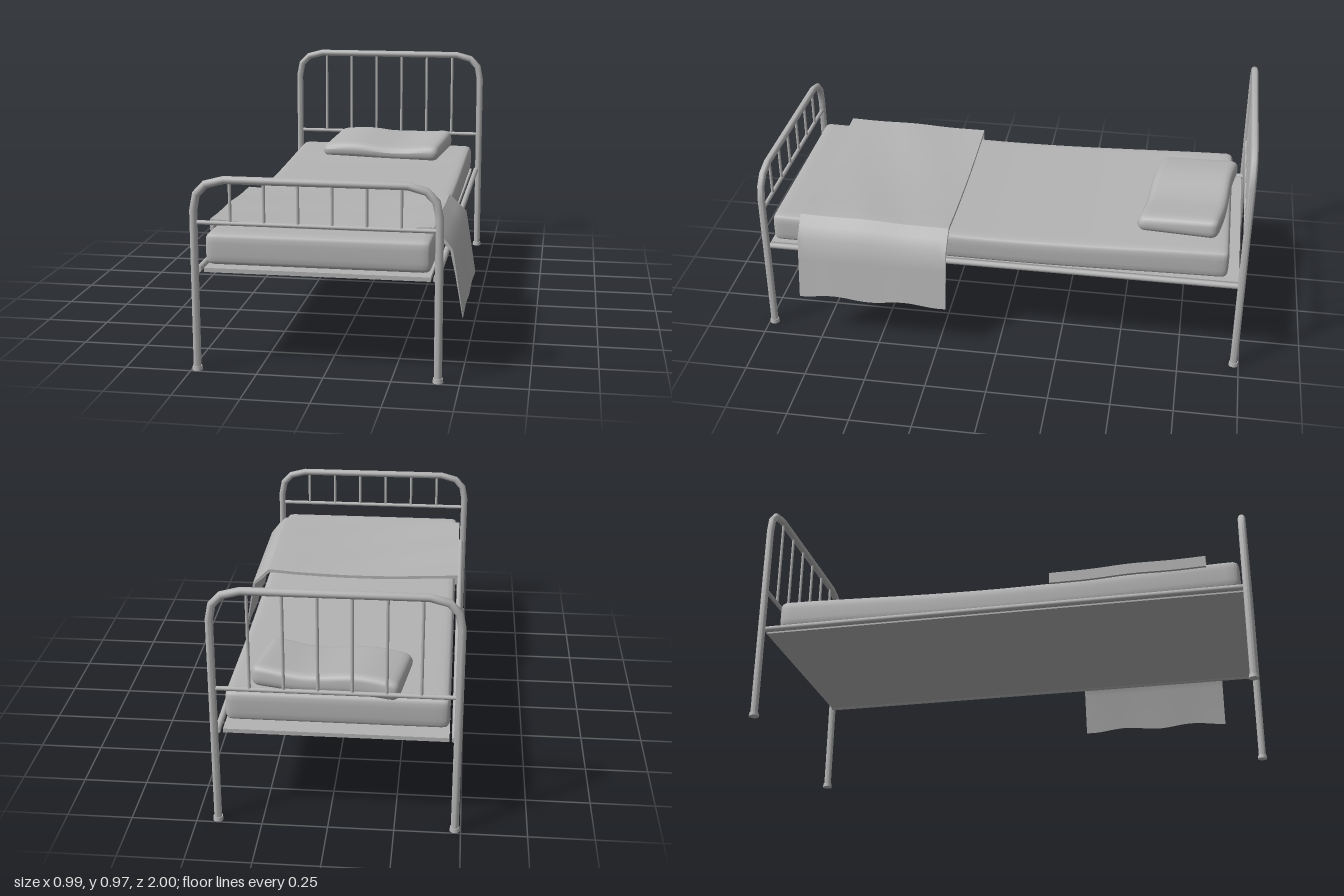
import * as THREE from 'three';
import { toCreasedNormals, mergeVertices } from 'three/addons/utils/BufferGeometryUtils.js';

const MID = -0.029; // the bed's centre line; the blanket hangs out on the +x side

// Left-hand mitred normals of a polyline in the xy plane
function miters(pts) {
  const dir = (a, b) => new THREE.Vector2(b[0] - a[0], b[1] - a[1]).normalize();
  return pts.map((p, i) => {
    const d0 = i > 0 ? dir(pts[i - 1], p) : dir(p, pts[1]);
    const d1 = i < pts.length - 1 ? dir(p, pts[i + 1]) : d0;
    const t = d0.clone().add(d1).normalize();
    return new THREE.Vector2(-t.y, t.x).divideScalar(t.dot(d0));
  });
}

// Skin closed rings of points and cap both ends
function loft(rings, crease) {
  const n = rings[0].length, last = (rings.length - 1) * n, index = [];
  for (let j = 0; j < rings.length - 1; j++) {
    for (let i = 0; i < n; i++) {
      const a = j * n + i, b = j * n + (i + 1) % n;
      index.push(a, a + n, b, b, a + n, b + n);
    }
  }
  for (let i = 0; i < n / 2 - 1; i++) {
    const q = [i, i + 1, n - 2 - i, n - 1 - i];
    index.push(q[0], q[1], q[3], q[1], q[2], q[3]);
    index.push(last + q[0], last + q[3], last + q[1], last + q[1], last + q[3], last + q[2]);
  }
  const geo = new THREE.BufferGeometry();
  geo.setAttribute('position', new THREE.Float32BufferAttribute(rings.flat(2), 3));
  geo.setIndex(index);
  return toCreasedNormals(geo, crease);
}

// Tube with mitred bends
function bentTube(pts, r, sides = 12) {
  const m = miters(pts);
  return loft(pts.map(([x, y], j) => Array.from({ length: sides }, (_, i) => {
    const a = (i / sides) * Math.PI * 2, c = Math.cos(a) * r;
    return [x + m[j].x * c, y + m[j].y * c, -Math.sin(a) * r];
  })), 0.9);
}

function warp(geo, rule) {
  const p = geo.attributes.position, v = new THREE.Vector3();
  for (let i = 0; i < p.count; i++) {
    rule(v.fromBufferAttribute(p, i));
    p.setXYZ(i, v.x, v.y, v.z);
  }
  return geo;
}

// Smooth rounded block, finely divided so that it can be bent by a rule
function softBlock(w, h, d, r, rule) {
  const half = new THREE.Vector3(w / 2, h / 2, d / 2);
  const hi = half.clone().subScalar(r), lo = hi.clone().negate(), core = new THREE.Vector3();
  let geo = new THREE.BoxGeometry(w, h, d, 24, 8, 28);
  warp(geo, v => {
    for (const k of ['x', 'y', 'z']) v[k] = half[k] * Math.sin((v[k] / half[k]) * Math.PI / 2);
    core.copy(v).clamp(lo, hi);
    v.sub(core).setLength(r).add(core);
    rule(v);
  });
  geo.deleteAttribute('uv');
  geo.deleteAttribute('normal');
  geo = mergeVertices(geo, 1e-5);
  geo.computeVertexNormals();
  return geo;
}

export function createModel() {
  const bed = new THREE.Group();
  bed.name = 'bed';
  const grey = new THREE.MeshStandardMaterial({ color: 0xb4b4b4 });
  grey.name = 'grey';

  const add = (parent, name, geo, x = 0, y = 0, z = 0) => {
    const mesh = new THREE.Mesh(geo, grey);
    mesh.name = name;
    mesh.position.set(x, y, z);
    parent.add(mesh);
    return mesh;
  };
  const rod = (r, len) => new THREE.CylinderGeometry(r, r, len, 12);

  // Head and foot ends: bent tube, lower rail, spindles and rubber feet
  const endFrame = (name, top, z) => {
    const end = new THREE.Group();
    end.name = name;
    end.position.set(MID, 0, z);
    const side = [[-0.449, 0.005], [-0.449, top - 0.115], [-0.437, top - 0.055], [-0.402, top - 0.018], [-0.334, top]];
    const path = [...side, ...side.map(([x, y]) => [-x, y]).reverse()];
    add(end, 'bentFrame', bentTube(path, 0.015));
    const railY = 0.565;
    add(end, 'lowerRail', rod(0.0085, 0.89).rotateZ(Math.PI / 2), 0, railY);
    for (let i = 0; i < 6; i++) {
      add(end, 'spindle', rod(0.006, top - railY), (i - 2.5) * 0.125, (top + railY) / 2);
    }
    for (const s of [-1, 1]) {
      add(end, 'foot', new THREE.CylinderGeometry(0.018, 0.02, 0.016, 16), s * 0.449, 0.008);
    }
    bed.add(end);
  };
  endFrame('headboard', 0.955, -0.98);
  endFrame('footboard', 0.725, 0.98);

  // Side rails
  for (const s of [-1, 1]) {
    add(bed, 'sideRail', rod(0.012, 1.95).rotateX(Math.PI / 2), MID + s * 0.438, 0.385, 0);
  }

  // Sagging spring base
  const ramp = (v, edge, flat) => THREE.MathUtils.clamp((edge - Math.abs(v)) / (edge - flat), 0, 1);
  const base = warp(new THREE.BoxGeometry(0.836, 0.016, 1.94, 12, 1, 20), v => {
    v.y -= 0.024 * ramp(v.x, 0.418, 0.15) * ramp(v.z, 0.95, 0.25);
  });
  add(bed, 'springBase', toCreasedNormals(base, 0.5), MID, 0.383, 0);

  // Mattress, dipping along its length
  const mattress = softBlock(0.836, 0.122, 1.88, 0.027, v => {
    const dip = Math.cos((v.z / 0.94) * Math.PI / 2) ** 1.5;
    v.y -= dip * (v.y > 0 ? 0.024 : 0.015);
  });
  add(bed, 'mattress', mattress, MID, 0.458, 0.017);

  // Pillow, turned a little, raised and rumpled towards the head
  const pillow = softBlock(0.565, 0.074, 0.335, 0.034, v => {
    const back = -v.z / 0.167, up = v.y > 0 ? 1 : 0.4;
    v.y += up * (0.015 * back + 0.008 * Math.cos((v.x + 0.13) * 15.7));
    v.z -= 0.004 * Math.sin(v.x * 14);
  });
  add(bed, 'pillow', pillow, 0, 0.544, -0.744).rotation.y = -0.124;

  // Blanket across the foot, hanging down the left side
  const profile = [
    [-0.458, 0.497], [-0.458, 0.541], [-0.35, 0.536], [-0.22, 0.529], [-0.1, 0.525], [0.03, 0.525],
    [0.15, 0.528], [0.27, 0.533], [0.36, 0.54], [0.385, 0.539], [0.42, 0.505], [0.455, 0.46], [0.47, 0.37], [0.496, 0.208],
  ];
  const rings = [];
  for (let j = 0; j <= 20; j++) {
    const t = j / 20, z = 0.21 + 0.62 * t;
    const outer = profile.map(([x, y], i) => {
      const hem = i === profile.length - 1;
      const lie = -0.012 * (1 - t) + 0.003 * Math.sin(t * 9 + x * 7) * Math.sin(t * Math.PI);
      return [x, y + (hem ? 0.007 * Math.cos(t * 13 + 2.6) : i > 10 ? 0 : lie)];
    });
    const m = miters(outer);
    const inner = outer.map(([x, y], i) => {
      const thick = 0.013 * Math.min(1, (outer.length - 1 - i) / 3 + 0.15);
      return [x - m[i].x * thick, y - m[i].y * thick];
    });
    rings.push([...outer, ...inner.reverse()].map(([x, y]) => [x, y, z]));
  }
  add(bed, 'blanket', loft(rings, 0.7));

  return bed;
}
